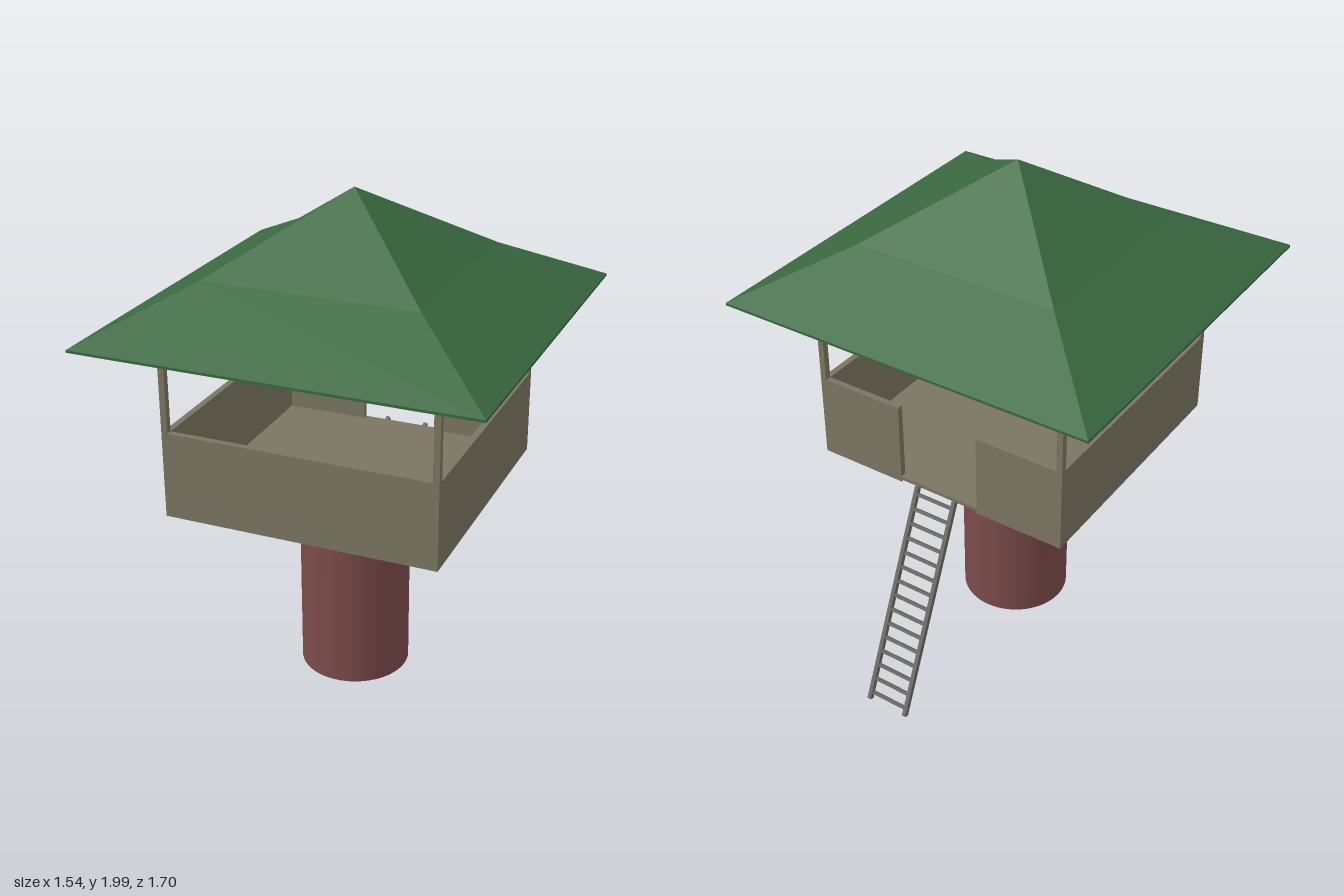
import * as THREE from 'three';

const wood = new THREE.MeshStandardMaterial({ color: 0x7a7561 });
const brick = new THREE.MeshStandardMaterial({ color: 0x7b4a4a, side: THREE.DoubleSide });
const green = new THREE.MeshStandardMaterial({ color: 0x39693f, side: THREE.DoubleSide, flatShading: true });
const metal = new THREE.MeshStandardMaterial({ color: 0x6b6a64 });

function add(parent, name, geometry, material, x = 0, y = 0, z = 0) {
  const mesh = new THREE.Mesh(geometry, material);
  mesh.name = name;
  mesh.position.set(x, y, z);
  parent.add(mesh);
  return mesh;
}

// Box given by its centre in x and z and its bottom and top heights
function block(parent, name, w, d, y0, y1, x, z) {
  return add(parent, name, new THREE.BoxGeometry(w, y1 - y0, d), wood, x, (y0 + y1) / 2, z);
}

export function createModel() {
  const model = new THREE.Group();
  model.name = 'lookoutTower';

  const tower = new THREE.Group();
  tower.name = 'tower';
  tower.position.z = 0.083;
  model.add(tower);

  // Open pipe-like column
  add(tower, 'column', new THREE.CylinderGeometry(0.22, 0.22, 0.775, 48, 1, true), brick, 0, 0.398, 0);

  // Cabin: floor set slightly above the lower edge of the walls
  const half = 0.543, t = 0.025, mid = half - t / 2, inner = 2 * (half - t);
  const bottom = 0.81, top = 1.155, doorHalf = 0.175;
  block(tower, 'floor', inner, inner, 0.82, 0.835, 0, 0);
  block(tower, 'doorSill', 2 * doorHalf, t, 0.82, 0.835, 0, -mid);
  block(tower, 'frontWall', 2 * half, t, bottom, top, 0, mid);
  for (const s of [-1, 1]) {
    block(tower, 'sideWall', t, inner, bottom, top, s * mid, 0);
    // Back wall in two pieces with the doorway between
    block(tower, 'backWall', half - doorHalf, t, bottom, top, s * (half + doorHalf) / 2, -mid);
    for (const k of [-1, 1]) block(tower, 'cornerPost', t, t, top, 1.59, s * mid, k * mid);
  }

  // Hollow four-sided roof with a thin eave and a break in its slope
  const profile = [[0.77, 1.52], [0.77, 1.53], [0.42, 1.72], [0, 2]]
    .map(([r, y]) => new THREE.Vector2(r * Math.SQRT2, y));
  const roof = new THREE.LatheGeometry(profile, 4, Math.PI / 4).toNonIndexed();
  roof.computeVertexNormals();
  add(tower, 'roof', roof, green);

  // Ladder leaning against the doorway
  const ladder = new THREE.Group();
  ladder.name = 'ladder';
  const run = 0.367, rise = 0.825, length = Math.hypot(run, rise), rungs = 15;
  ladder.position.set(0, 0.422, -0.658);
  ladder.rotation.x = Math.atan2(run, rise);
  for (const s of [-1, 1]) {
    add(ladder, 'ladderRail', new THREE.BoxGeometry(0.016, length, 0.02), metal, s * 0.085, 0, 0);
  }
  for (let i = 0; i < rungs; i++) {
    const y = ((i + 0.5) / rungs - 0.5) * length;
    add(ladder, 'ladderRung', new THREE.BoxGeometry(0.156, 0.012, 0.012), metal, 0, y, 0);
  }
  model.add(ladder);

  return model;
}
